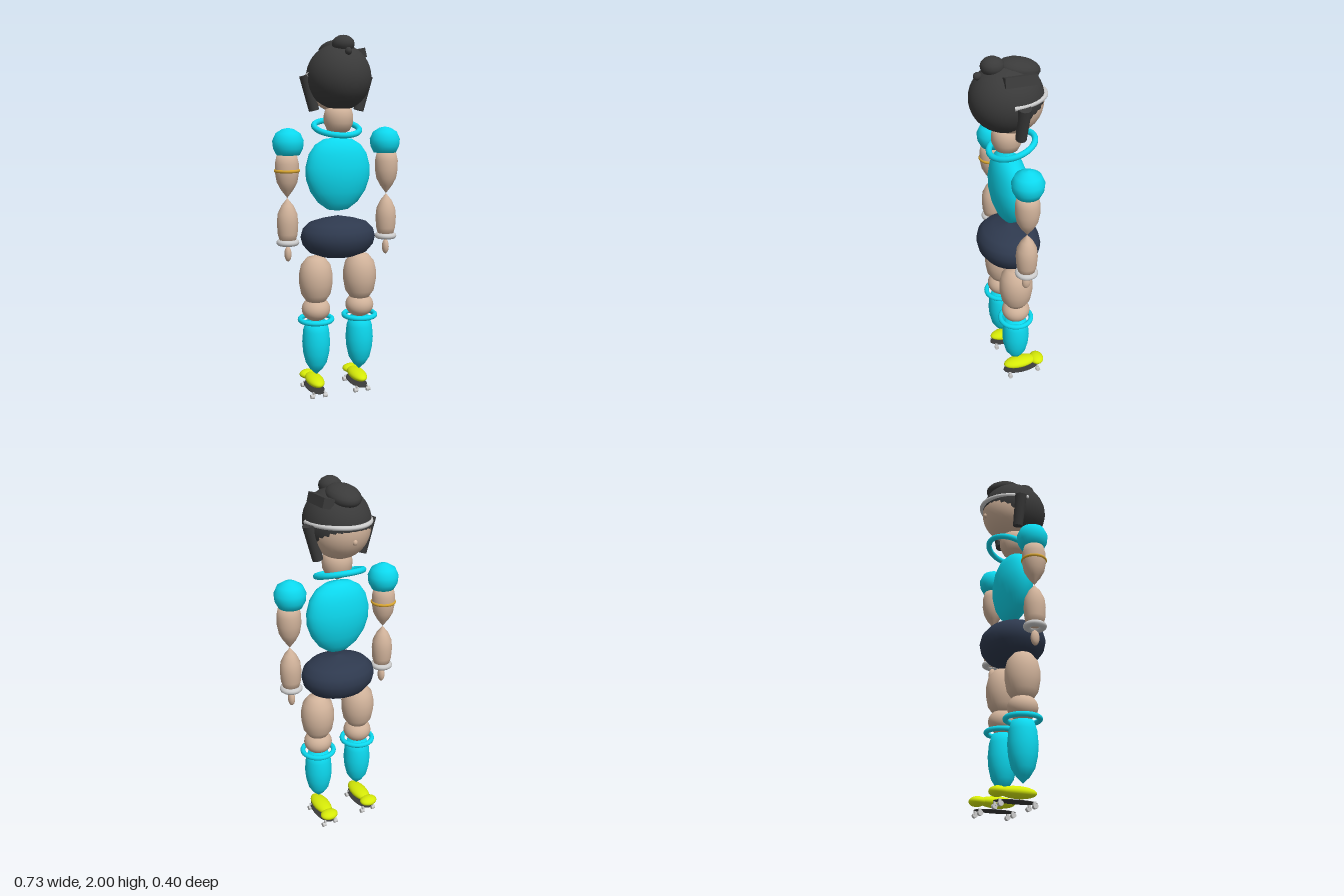
import * as THREE from 'three';

const mat = (color) => new THREE.MeshStandardMaterial({ color, side: THREE.DoubleSide });

export function createModel() {
  const model = new THREE.Group();
  const skin = mat(0xd0b29a), cyan = mat(0x0cd8ee), navy = mat(0x2e394e), hair = mat(0x3a3a3a);
  const lime = mat(0xd6ea08), gold = mat(0xd8a530), grey = mat(0xcccccc);

  const add = (parent, name, geo, material, x, y, z) => {
    const mesh = new THREE.Mesh(geo, material);
    mesh.name = name;
    mesh.position.set(x, y, z);
    parent.add(mesh);
    return mesh;
  };
  const ball = (parent, name, material, [x, y, z], [rx, ry, rz], rows = 20) => {
    const geo = new THREE.SphereGeometry(1, 32, rows).scale(rx, ry, rz);
    return add(parent, name, geo, material, x, y, z);
  };
  // Turned body part; profile is [radius, height] from bottom to top
  const turned = (parent, name, material, profile, x = 0, z = 0, depth = 1) => {
    const points = profile.map(([r, y]) => new THREE.Vector2(r, y));
    return add(parent, name, new THREE.LatheGeometry(points, 32).scale(1, 1, depth), material, x, 0, z);
  };
  const ring = (parent, name, material, [x, y, z], radius, tube, flat = 1) => {
    const geo = new THREE.TorusGeometry(radius, tube, 12, 40).rotateX(Math.PI / 2).scale(1, flat, 1);
    return add(parent, name, geo, material, x, y, z);
  };

  // Head
  const head = new THREE.Group();
  head.name = 'head';
  model.add(head);
  ball(head, 'face', skin, [0, 1.762, -0.015], [0.16, 0.165, 0.165]);
  ball(head, 'nose', skin, [0, 1.717, -0.172], [0.013, 0.015, 0.013], 10);
  ball(head, 'hairCap', hair, [0, 1.782, 0.01], [0.173, 0.176, 0.19]);
  const bun = ball(head, 'topBun', hair, [0, 1.925, -0.055], [0.085, 0.05, 0.11], 10);
  bun.rotation.x = -0.2;
  ball(head, 'backBun', hair, [0, 1.95, 0.08], [0.06, 0.047, 0.06], 8);
  ball(head, 'hairKnot', hair, [0, 1.91, 0.155], [0.018, 0.02, 0.022], 8);
  const clip = add(head, 'hairClip', new THREE.BoxGeometry(0.06, 0.05, 0.165), hair, 0.108, 1.905, -0.022);
  clip.rotation.z = 0.25;
  for (const s of [-1, 1]) {
    const lock = add(head, 'sideLock', new THREE.CylinderGeometry(0.034, 0.028, 0.19, 16), hair, s * 0.152, 1.7, -0.022);
    lock.rotation.z = -s * 0.25;
  }
  // Half-hoop headband around the forehead
  const band = new THREE.TorusGeometry(1, 0.066, 12, 40, Math.PI).rotateX(-Math.PI / 2).scale(0.168, 0.18, 0.214);
  add(head, 'headband', band, grey, 0, 1.795, 0.028);

  // Neck, collar, torso and hips
  turned(model, 'neck', skin, [[0, 1.47], [0.06, 1.5], [0.079, 1.54], [0.08, 1.58], [0.07, 1.62], [0, 1.66]], 0, 0.008);
  ring(model, 'collar', cyan, [0, 1.515, -0.02], 0.124, 0.016).rotation.x = 0.3;
  turned(model, 'torso', cyan, [[0, 1.06], [0.06, 1.07], [0.115, 1.11], [0.158, 1.17], [0.182, 1.24], [0.184, 1.305],
    [0.165, 1.375], [0.13, 1.425], [0.08, 1.455], [0, 1.465]], 0, 0, 0.53);
  turned(model, 'hips', navy, [[0, 0.805], [0.1, 0.81], [0.165, 0.835], [0.2, 0.875], [0.211, 0.92], [0.2, 0.96],
    [0.165, 0.995], [0.1, 1.015], [0, 1.035]], 0, 0, 0.83);

  for (const s of [-1, 1]) {
    const side = s > 0 ? 'left' : 'right';

    // Arm
    const arm = new THREE.Group();
    arm.name = side + 'Arm';
    model.add(arm);
    const ax = s * 0.29;
    turned(arm, 'shoulderPad', cyan, [[0, 1.37], [0.062, 1.375], [0.08, 1.41], [0.084, 1.45], [0.066, 1.49], [0.03, 1.512], [0, 1.518]], s * 0.281, -0.004);
    turned(arm, 'upperArm', skin, [[0, 1.145], [0.034, 1.19], [0.055, 1.23], [0.064, 1.28], [0.064, 1.33], [0.054, 1.375], [0, 1.39]], ax);
    turned(arm, 'forearm', skin, [[0, 0.895], [0.042, 0.905], [0.054, 0.95], [0.058, 1.01], [0.053, 1.06], [0.032, 1.105], [0, 1.145]], ax);
    ring(arm, 'bracelet', grey, [ax, 0.902, 0], 0.042, 0.02, 0.85);
    ball(arm, 'hand', skin, [ax, 0.838, 0], [0.019, 0.042, 0.024], 10);
    if (s < 0) ring(arm, 'armBand', gold, [ax, 1.292, 0], 0.061, 0.009);

    // Leg
    const leg = new THREE.Group();
    leg.name = side + 'Leg';
    model.add(leg);
    const lx = s * 0.131;
    turned(leg, 'thigh', skin, [[0, 0.555], [0.055, 0.56], [0.082, 0.6], [0.093, 0.66], [0.094, 0.71], [0.082, 0.765], [0.05, 0.805], [0, 0.82]], lx);
    ball(leg, 'knee', skin, [lx, 0.512, 0], [0.08, 0.068, 0.08]);
    ring(leg, 'kneeBand', cyan, [lx, 0.452, 0], 0.089, 0.014);
    turned(leg, 'shin', cyan, [[0, 0.125], [0.035, 0.16], [0.06, 0.2], [0.074, 0.26], [0.079, 0.32], [0.073, 0.39], [0.058, 0.44], [0, 0.452]], lx);

    // Roller skate
    const skate = new THREE.Group();
    skate.name = side + 'Skate';
    leg.add(skate);
    ball(skate, 'shoe', lime, [lx, 0.08, -0.03], [0.048, 0.03, 0.102]);
    ball(skate, 'toeCap', lime, [s * 0.135, 0.077, -0.137], [0.052, 0.026, 0.042]);
    ball(skate, 'solePlate', hair, [lx, 0.034, -0.04], [0.05, 0.006, 0.115], 10);
    for (const wx of [-0.038, 0.038]) {
      for (const wz of [0.045, -0.135]) {
        const wheel = new THREE.CylinderGeometry(0.013, 0.013, 0.022, 14).rotateZ(Math.PI / 2);
        add(skate, 'wheel', wheel, grey, lx + wx, 0.013, wz);
        add(skate, 'wheelMount', new THREE.BoxGeometry(0.012, 0.02, 0.014), grey, lx + wx * 0.8, 0.026, wz);
      }
    }
  }
  return model;
}
